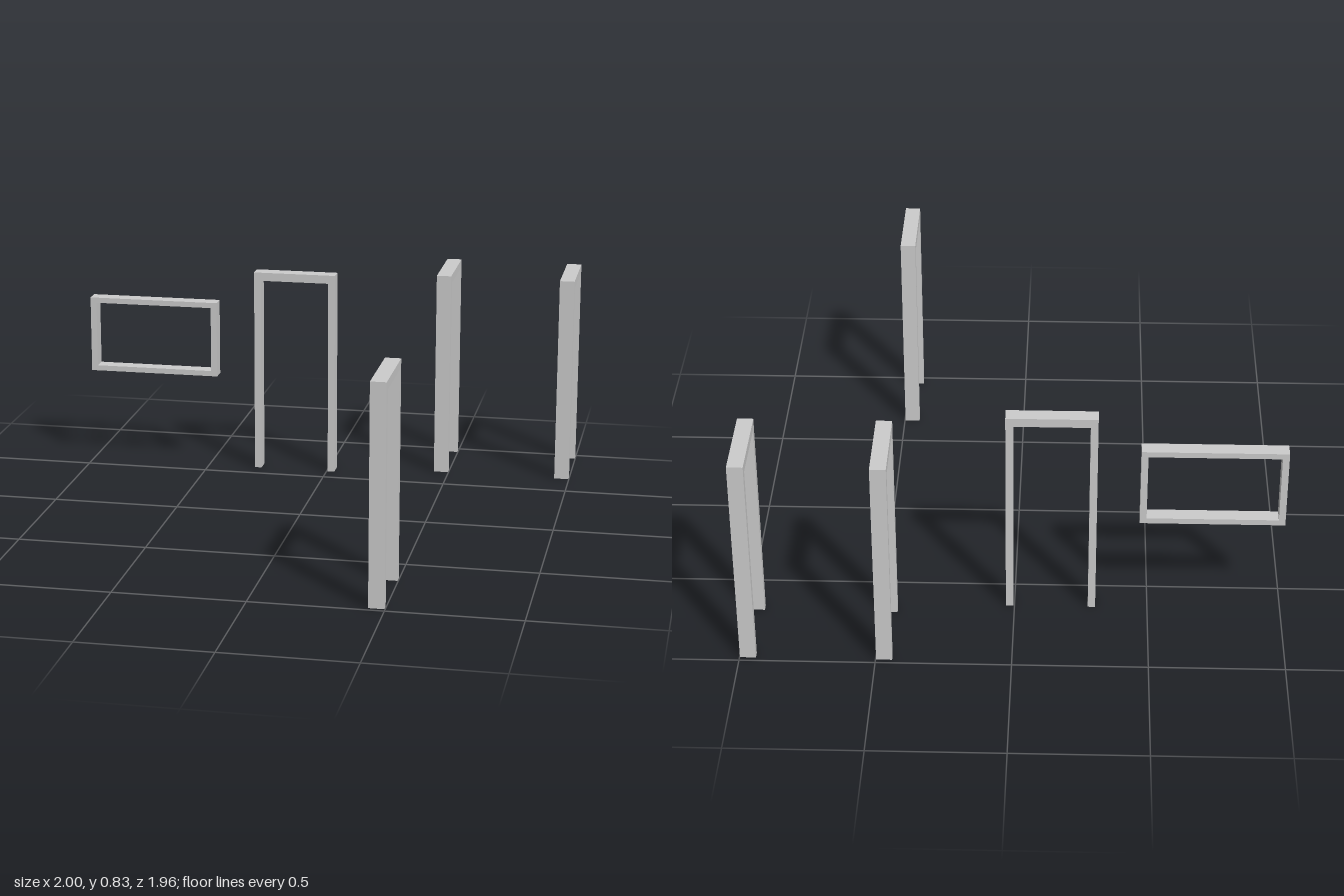
import * as THREE from 'three';

const material = new THREE.MeshStandardMaterial({ color: 0xcccccc, flatShading: true });
const DEPTH = 0.059;

// Extrudes an outline in the xy plane, centred on z = 0
function extrudeFrame(name, shape) {
  const geometry = new THREE.ExtrudeGeometry(shape, { depth: DEPTH, bevelEnabled: false });
  geometry.translate(0, 0, -DEPTH / 2);
  const mesh = new THREE.Mesh(geometry, material);
  mesh.name = name;
  return mesh;
}

// Door casing: two jambs and a head, open at the floor
function doorFrame(name, width, height = 0.835, jamb = 0.028, head = 0.034) {
  const o = width / 2, i = o - jamb;
  const points = [[-o, 0], [-i, 0], [-i, height - head], [i, height - head],
    [i, 0], [o, 0], [o, height], [-o, height]];
  return extrudeFrame(name, new THREE.Shape(points.map(([x, y]) => new THREE.Vector2(x, y))));
}

function rectangle(Type, x, y) {
  return new Type([[-x, -y], [x, -y], [x, y], [-x, y]].map(([a, b]) => new THREE.Vector2(a, b)));
}

// Window casing: closed rectangular frame
function windowFrame(name, width, height, side, rail) {
  const shape = rectangle(THREE.Shape, width / 2, height / 2);
  shape.holes.push(rectangle(THREE.Path, width / 2 - side, height / 2 - rail));
  return extrudeFrame(name, shape);
}

export function createModel() {
  const model = new THREE.Group();
  model.name = 'doorAndWindowFrames';

  const windowMesh = windowFrame('windowFrame', 0.537, 0.313, 0.025, 0.022);
  windowMesh.position.set(-0.7315, 0.542, -0.604);
  model.add(windowMesh);

  const backDoor = doorFrame('backDoorFrame', 0.337);
  backDoor.position.set(-0.136, 0, -0.607);
  model.add(backDoor);

  // Doors set in the side walls, turned to run along z
  const sideDoors = [
    ['frontSideDoorFrame', 0.468, 0.818, 0.327],
    ['backInnerSideDoorFrame', 0.468, -0.822, 0.32],
    ['backOuterSideDoorFrame', 0.969, -0.822, 0.32],
  ];
  for (const [name, x, z, width] of sideDoors) {
    const door = doorFrame(name, width);
    door.rotation.y = Math.PI / 2;
    door.position.set(x, 0, z);
    model.add(door);
  }
  return model;
}
